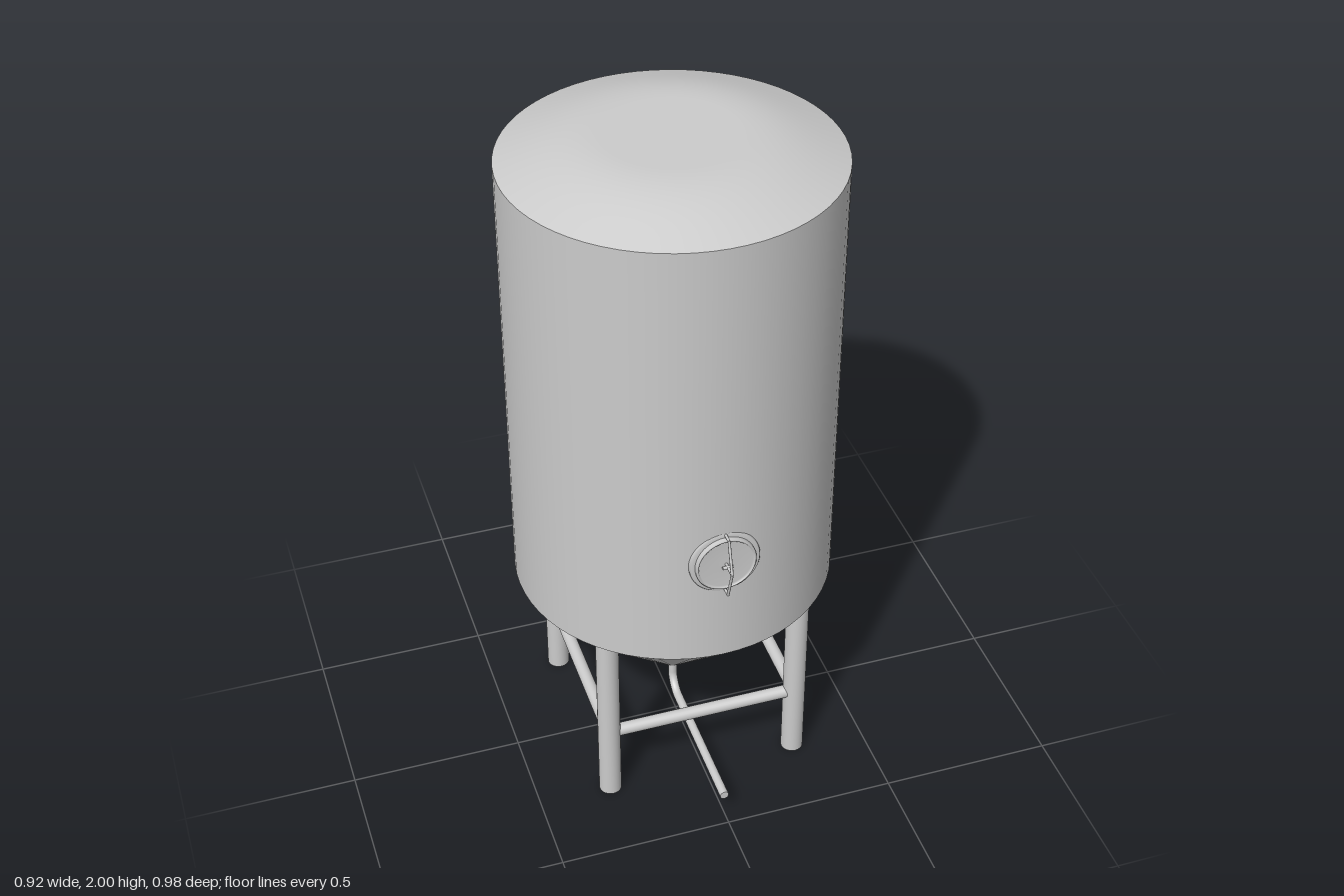
import * as THREE from 'three';

const V = (x, y, z) => new THREE.Vector3(x, y, z);
const steel = new THREE.MeshStandardMaterial({ color: 0xcccccc });

export function createModel() {
  const model = new THREE.Group();
  const R = 0.46, AXIS_Z = -0.03, LEG = 0.285;

  const add = (name, geometry, parent = model) => {
    const mesh = new THREE.Mesh(geometry, steel);
    mesh.name = name;
    parent.add(mesh);
    return mesh;
  };
  const lathe = (points, segments = 64) =>
    new THREE.LatheGeometry(points.map(([r, y]) => new THREE.Vector2(r, y)), segments);
  // Round bar between two points
  const bar = (name, a, b, radius, parent, sides = 24) => {
    const mesh = add(name, new THREE.CylinderGeometry(radius, radius, a.distanceTo(b), sides), parent);
    mesh.position.copy(a).lerp(b, 0.5);
    mesh.quaternion.setFromUnitVectors(V(0, 1, 0), b.clone().sub(a).normalize());
    return mesh;
  };

  // Vessel: cone, cylinder wall and shallow dome share one axis
  const vessel = new THREE.Group();
  vessel.name = 'vessel';
  vessel.position.z = AXIS_Z;
  model.add(vessel);
  add('coneBottom', lathe([[0, 0.155], [0.013, 0.158], [R, 0.605]]), vessel);
  add('tankWall', lathe([[R, 0.605], [R, 1.93]]), vessel);
  const dome = new THREE.CubicBezierCurve(
    new THREE.Vector2(R, 1.93), new THREE.Vector2(0.34, 1.974),
    new THREE.Vector2(0.28, 2), new THREE.Vector2(0.18, 2));
  add('domeTop', lathe([...dome.getPoints(14).map(p => [p.x, p.y]), [0, 2]]), vessel);

  // Four legs running up into the cone, joined by a square of braces
  const frame = new THREE.Group();
  frame.name = 'legFrame';
  frame.position.z = AXIS_Z;
  model.add(frame);
  const corners = [[1, 1], [1, -1], [-1, -1], [-1, 1]].map(([x, z]) => [x * LEG, z * LEG]);
  corners.forEach(([x, z], i) => {
    const [nx, nz] = corners[(i + 1) % 4];
    bar('leg', V(x, 0, z), V(x, 0.6, z), 0.033, frame);
    bar('brace', V(x, 0.225, z), V(nx, 0.225, nz), 0.019, frame);
  });

  // Drain pipe: down from the cone tip, then forward
  const drain = new THREE.CurvePath();
  const bend = 0.057, low = 0.072;
  drain.add(new THREE.LineCurve3(V(0, 0.18, AXIS_Z), V(0, low + bend, AXIS_Z)));
  drain.add(new THREE.CubicBezierCurve3(
    V(0, low + bend, AXIS_Z), V(0, low + bend * 0.45, AXIS_Z),
    V(0, low, AXIS_Z + bend * 0.55), V(0, low, AXIS_Z + bend)));
  drain.add(new THREE.LineCurve3(V(0, low, AXIS_Z + bend), V(0, low, 0.46)));
  add('drainPipe', new THREE.TubeGeometry(drain, 80, 0.013, 16));
  const pipeEnd = add('drainPipeEnd', new THREE.CircleGeometry(0.013, 16));
  pipeEnd.position.set(0, low, 0.46);

  // Round hatch on the front wall
  const hatch = new THREE.Group();
  hatch.name = 'hatch';
  hatch.position.y = 0.94;
  model.add(hatch);
  const collar = add('hatchCollar', lathe([[0.1, 0.4], [0.1, 0.427], [0.097, 0.431], [0.084, 0.431]], 48), hatch);
  const lid = add('hatchLid', lathe([[0.086, 0.41], [0.086, 0.439], [0.083, 0.443], [0.079, 0.443],
    [0.076, 0.437], [0, 0.439]], 48), hatch);
  collar.rotation.x = lid.rotation.x = Math.PI / 2;

  // Bowed clamp bar with a central screw
  for (const s of [1, -1]) {
    bar('clampFoot', V(0, s * 0.094, 0.42), V(0, s * 0.094, 0.459), 0.004, hatch, 10);
    bar('clampArm', V(0, s * 0.095, 0.457), V(0, 0, 0.487), 0.004, hatch, 10);
  }
  bar('clampScrew', V(0, 0, 0.435), V(0, 0, 0.488), 0.004, hatch, 10);
  bar('clampHandle', V(-0.015, 0, 0.453), V(0.015, 0, 0.453), 0.005, hatch, 10);

  return model;
}
